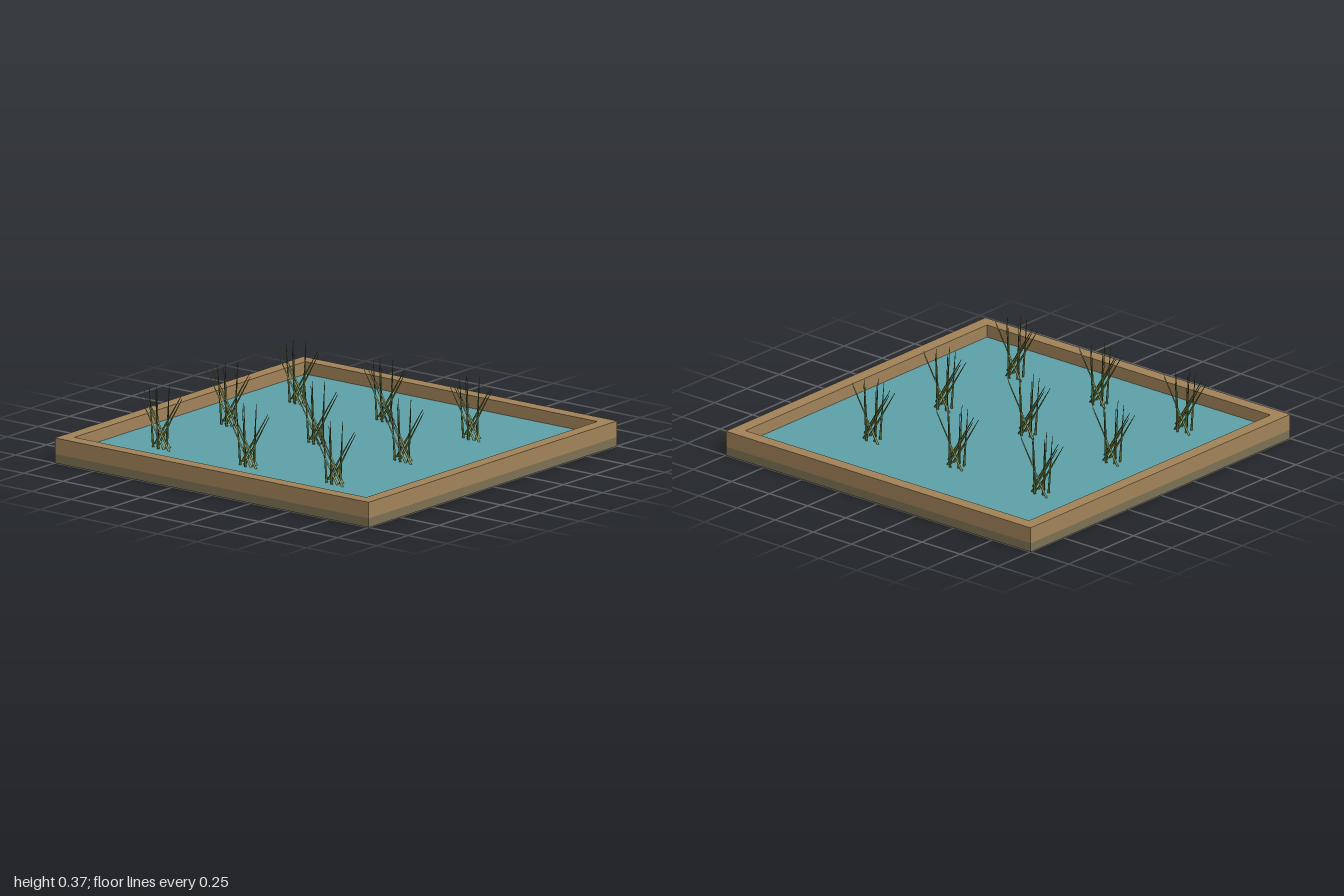
import * as THREE from 'three';

const mat = (name, color) => {
  const m = new THREE.MeshStandardMaterial({ color });
  m.name = name;
  return m;
};

export function createModel() {
  const earth = mat('earth brown', 0xa38459);
  const mud = mat('mud', 0x7d7355);
  const water = mat('water', 0x5fa2aa);
  const leafGreen = mat('leaf green', 0x6f8238);
  const stemGreen = mat('stem green', 0x4d6130);

  const model = new THREE.Group();
  model.name = 'floodedField';

  const box = (name, w, h, d, x, y, z, material) => {
    const mesh = new THREE.Mesh(new THREE.BoxGeometry(w, h, d), material);
    mesh.name = name;
    mesh.position.set(x, y, z);
    model.add(mesh);
  };

  // Mud slab, water sheet and the raised earth bank around them
  const slabTop = 0.047, top = 0.13, bank = 0.07;
  const h = top - slabTop, mid = (top + slabTop) / 2;
  box('mudBase', 2, slabTop, 2, 0, slabTop / 2, 0, mud);
  box('waterSurface', 2 - 2 * bank, 0.018, 2 - 2 * bank, 0, 0.056, 0, water);
  for (const s of [-1, 1]) {
    box(s > 0 ? 'frontBank' : 'backBank', 2, h, bank, 0, mid, s * (1 - bank / 2), earth);
    box(s > 0 ? 'leftBank' : 'rightBank', bank, h, 2 - 2 * bank, s * (1 - bank / 2), mid, 0, earth);
  }

  // A blade is a slim four-sided spike from its root to its tip
  const up = new THREE.Vector3(0, 1, 0);
  const blade = (name, root, tip, radius, material) => {
    const a = new THREE.Vector3(...root), b = new THREE.Vector3(...tip);
    const dir = b.clone().sub(a);
    const geo = new THREE.CylinderGeometry(0.0015, radius, dir.length(), 4).toNonIndexed();
    geo.computeVertexNormals();
    const mesh = new THREE.Mesh(geo, material);
    mesh.name = name;
    mesh.quaternion.setFromUnitVectors(up, dir.normalize());
    mesh.position.copy(a.add(b).multiplyScalar(0.5));
    return mesh;
  };

  // Spreading leaves: root x, tip x, z
  const leaves = [
    [0.05, -0.135, -0.02], [0.05, -0.135, 0.025], [-0.05, 0.125, 0],
    [-0.095, 0.09, -0.035], [0.09, -0.095, 0.035],
  ];
  // Upright stems: root x, root z, tip x, tip z
  const stems = [
    [0, -0.035, 0, -0.055], [0, 0.032, 0, 0.056], [-0.042, -0.02, -0.058, -0.028],
    [-0.042, 0.02, -0.058, 0.032], [0.025, 0, 0.042, 0],
  ];
  const tuft = new THREE.Group();
  for (const [x0, x1, z] of leaves)
    tuft.add(blade('leaf', [x0, 0.03, z], [x1, 0.335, z], 0.008, leafGreen));
  for (const [x0, z0, x1, z1] of stems)
    tuft.add(blade('stem', [x0, 0.05, z0], [x1, 0.37, z1], 0.008, stemGreen));

  // Three rows of three tufts
  for (const x of [-0.615, -0.06, 0.49])
    for (const z of [-0.48, 0.07, 0.62]) {
      const plant = tuft.clone();
      plant.name = 'grassTuft';
      plant.position.set(x, 0, z);
      model.add(plant);
    }
  return model;
}
